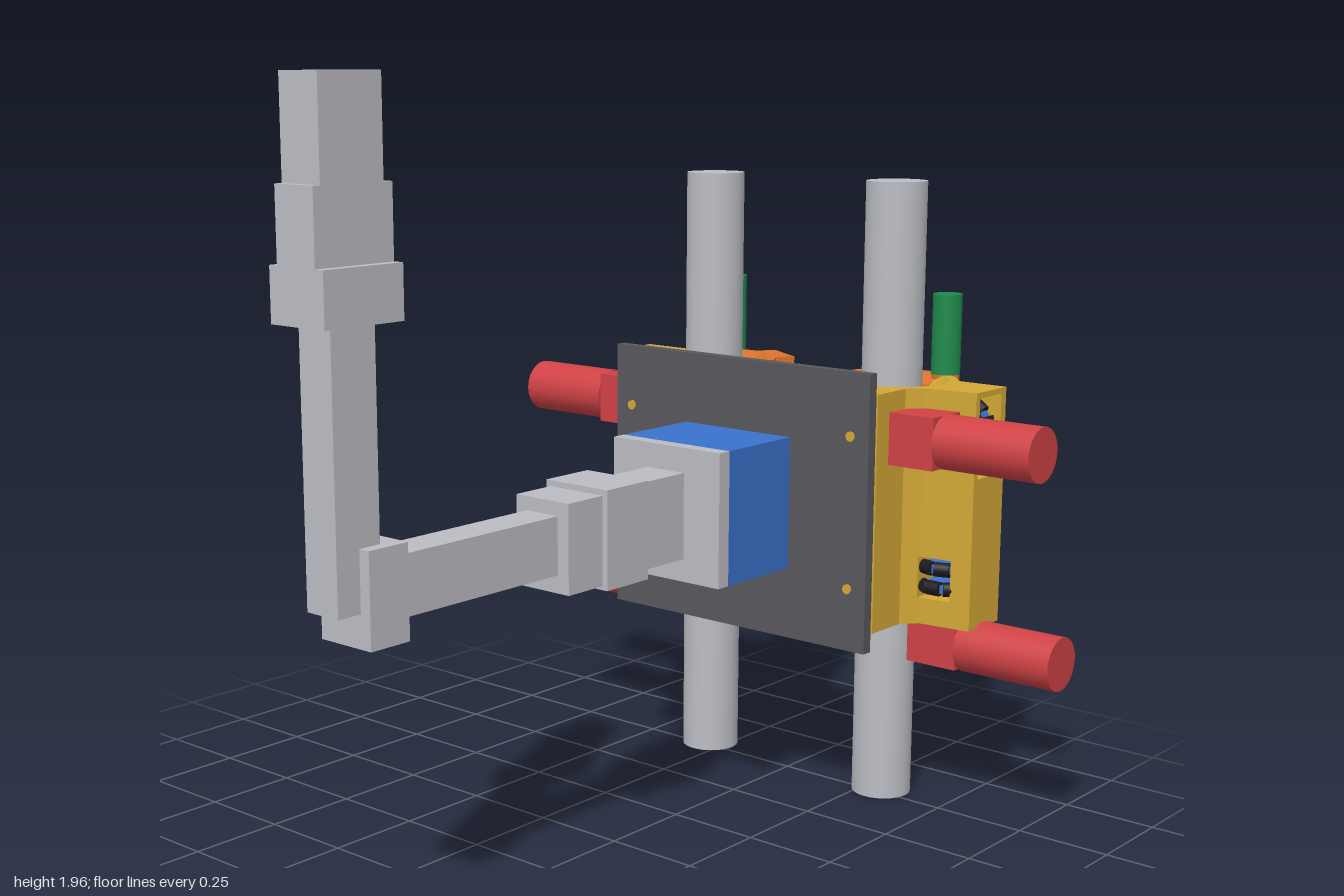
import * as THREE from 'three';

const mat = (name, color, side = THREE.FrontSide) => {
  const m = new THREE.MeshStandardMaterial({ color, side });
  m.name = name;
  return m;
};
const DEG = Math.PI / 180;
const CX = 0.3, CZ = -0.775;      // pole axis
const Y0 = 0.52, Y1 = 1.145;      // clamp height

export function createModel() {
  const grey = mat('light grey', 0xbcbdc3);
  const dark = mat('dark grey', 0x58575d);
  const blue = mat('blue', 0x3a72cc);
  const yellow = mat('yellow', 0xd2a836, THREE.DoubleSide);
  const orange = mat('orange', 0xdc742c, THREE.DoubleSide);
  const red = mat('red', 0xcf4245);
  const green = mat('green', 0x1f8a4c);
  const steel = mat('steel', 0x8d8f96);
  const black = mat('black', 0x1c1c20);

  const root = new THREE.Group();
  root.name = 'poleClimber';

  const add = (parent, name, geo, m, x = 0, y = 0, z = 0) => {
    const mesh = new THREE.Mesh(geo, m);
    mesh.name = name;
    mesh.position.set(x, y, z);
    parent.add(mesh);
    return mesh;
  };
  // box given by half width in x and ranges in y and z
  const block = (parent, name, m, x0, x1, y0, y1, z0, z1) =>
    add(parent, name, new THREE.BoxGeometry(Math.abs(x1 - x0), y1 - y0, z1 - z0), m,
      (x0 + x1) / 2, (y0 + y1) / 2, (z0 + z1) / 2);
  const rod = (parent, name, m, r, y0, y1, x, z) =>
    add(parent, name, new THREE.CylinderGeometry(r, r, y1 - y0, 32), m, x, (y0 + y1) / 2, z);

  // base plate with bolts, and the shoulder motor
  block(root, 'basePlate', dark, -0.42, 0.42, 0.47, 1.2, -0.525, -0.495);
  for (const x of [-0.365, 0.365]) for (const y of [0.635, 1.035])
    add(root, 'plateBolt', new THREE.CylinderGeometry(0.013, 0.013, 0.006, 12).rotateX(Math.PI / 2), yellow, x, y, -0.493);
  block(root, 'shoulderMotor', blue, -0.175, 0.175, 0.66, 1.01, -0.495, -0.24);
  block(root, 'shoulderCap', grey, -0.175, 0.175, 0.66, 1.01, -0.24, -0.2);

  // arm: half width, y range, z range
  const arm = new THREE.Group();
  arm.name = 'arm';
  root.add(arm);
  const segments = [
    ['shoulderLink', 0.06, 0.72, 0.945, -0.2, -0.022],
    ['shoulderCollar', 0.1, 0.71, 0.96, -0.012, 0.14],
    ['upperArmSocket', 0.085, 0.72, 0.945, 0.14, 0.262],
    ['upperArm', 0.05, 0.765, 0.91, 0.262, 0.775],
    ['elbow', 0.08, 0.72, 0.945, 0.775, 0.89],
    ['forearm', 0.05, 0.8, 1.43, 0.83, 0.955],
    ['wristCollar', 0.085, 1.43, 1.555, 0.777, 1.0],
    ['wrist', 0.06, 1.555, 1.725, 0.78, 1.0],
    ['hand', 0.06, 1.725, 1.955, 0.805, 0.98],
  ];
  for (const [name, w, y0, y1, z0, z1] of segments) block(arm, name, grey, -w, w, y0, y1, z0, z1);

  // points on a circle about the pole, angles in degrees from the outward side
  const arc = (r, a0, a1) => {
    const n = Math.max(2, Math.ceil(Math.abs(a1 - a0) / 8));
    return Array.from({ length: n + 1 }, (_, i) => {
      const a = (a0 + (a1 - a0) * i / n) * DEG;
      return [r * Math.cos(a), r * Math.sin(a)];
    });
  };
  // upright prism from a plan outline around the pole
  const prism = (parent, name, m, s, pts, y0, y1) => {
    const shape = new THREE.Shape(pts.map(([u, v]) => new THREE.Vector2(s * (CX + u), -(CZ + v))));
    const geo = new THREE.ExtrudeGeometry(shape, { depth: y1 - y0, bevelEnabled: false }).rotateX(-Math.PI / 2);
    return add(parent, name, geo, m, 0, y0, 0);
  };
  // chamfered lining of the bore
  const liner = (parent, name, m, s, a0, a1) => {
    const prof = [[0.15, Y0], [0.125, Y0 + 0.03], [0.125, Y1 - 0.03], [0.15, Y1]].map(p => new THREE.Vector2(...p));
    const start = s > 0 ? 90 - a1 : a0 - 90;
    for (let i = 0; i < 3; i++)
      add(parent, name, new THREE.LatheGeometry([prof[i], prof[i + 1]], 24, start * DEG, (a1 - a0) * DEG), m, s * CX, 0, CZ);
  };
  // roller wheel: two hubs, each ringed with small rollers; axis along y
  const wheel = (parent, name, r) => {
    const g = new THREE.Group();
    g.name = name;
    parent.add(g);
    [-0.026, 0.026].forEach((off, row) => {
      add(g, 'wheelHub', new THREE.CylinderGeometry(r - 0.012, r - 0.012, 0.022, 20), blue, 0, off, 0);
      for (let i = 0; i < 10; i++) {
        const geo = new THREE.CylinderGeometry(0.019, 0.019, 0.04, 10).rotateZ(Math.PI / 2).translate(0, off, r - 0.019);
        add(g, 'wheelRoller', geo, black).rotation.y = (i + row / 2) * Math.PI / 5;
      }
    });
    return g;
  };
  // motor with gearbox, pointing sideways
  const motor = (parent, name, s, y, z, x0, x1, x2, hy, hz) => {
    block(parent, name + 'Gearbox', red, s * x0, s * x1, y - hy, y + hy, z - hz, z + hz);
    add(parent, name, new THREE.CylinderGeometry(0.071, 0.071, x2 - x1, 24).rotateZ(Math.PI / 2), red, s * (x1 + x2) / 2, y, z);
  };

  for (const s of [1, -1]) {
    const side = new THREE.Group();
    side.name = s > 0 ? 'leftClamp' : 'rightClamp';
    root.add(side);

    rod(side, 'pole', grey, 0.08, 0, 1.665, s * CX, CZ);

    // fixed clamp body in layers, with openings where the wheels sit
    const foot = [...arc(0.175, 162, 90), [0, 0.25], [0.125, 0.25], [0.125, 0.125]];
    const back = [[0.12, -0.125], [0.06, -0.165]];
    const full = [...foot, [0.16, 0.085], [0.302, 0.069], [0.302, -0.075], [0.16, -0.075], ...back, ...arc(0.15, -70, 162)];
    for (const [y0, y1] of [[Y0, 0.59], [0.7, 0.92], [1.13, Y1]]) prism(side, 'clampBody', yellow, s, full, y0, y1);
    prism(side, 'clampBodyFront', yellow, s,
      [...foot, [0.16, 0.085], [0.302, 0.069], [0.302, 0.052], [0.141, 0.052], ...arc(0.15, 21, 162)], 0.92, 1.13);
    prism(side, 'clampBodyBack', yellow, s,
      [[0.141, -0.052], [0.302, -0.052], [0.302, -0.075], [0.16, -0.075], ...back, ...arc(0.15, -70, -21)], 0.92, 1.13);
    prism(side, 'clampBodyInner', yellow, s,
      [...foot, [0.155, 0.09], [0.155, -0.08], ...back, ...arc(0.15, -70, 162)], 0.59, 0.7);
    prism(side, 'clampBodyOuter', yellow, s, [[0.245, 0.074], [0.302, 0.069], [0.302, -0.075], [0.245, -0.075]], 0.59, 0.7);
    liner(side, 'clampLiner', yellow, s, -70, 162);

    // swinging jaw
    prism(side, 'jaw', orange, s, [...arc(0.175, -162, -70), ...arc(0.15, -70, -162)], Y0, Y1);
    liner(side, 'jawLiner', orange, s, -162, -70);

    // radial tabs with idler pads and cover plates
    for (const [m, a] of [[yellow, 120], [orange, -120]]) {
      const tab = new THREE.Group();
      tab.name = a > 0 ? 'clampTab' : 'jawTab';
      tab.position.set(s * CX, (Y0 + Y1) / 2, CZ);
      tab.rotation.y = s > 0 ? -a * DEG : Math.PI + a * DEG;
      side.add(tab);
      add(tab, 'tabBlock', new THREE.BoxGeometry(0.067, Y1 - Y0, 0.14), m, 0.1835, 0, 0);
      add(tab, 'idlerPad', new THREE.BoxGeometry(0.045, 0.5, 0.06), orange, 0.108, 0, 0);
      add(tab, 'tabPlate', new THREE.BoxGeometry(0.006, 0.54, 0.08), steel, 0.219, 0, 0);
      for (const y of [-0.23, -0.18, 0.18, 0.23])
        add(tab, 'tabScrew', new THREE.CylinderGeometry(0.009, 0.009, 0.004, 10).rotateZ(Math.PI / 2), dark, 0.223, y, 0);
    }

    // hinge knuckles and hinge motor
    const hx = s * 0.362, hz = -0.94;
    rod(side, 'jawKnuckle', orange, 0.038, Y0, 0.755, hx, hz);
    rod(side, 'clampKnuckle', yellow, 0.038, 0.755, 0.91, hx, hz);
    rod(side, 'jawKnuckle', orange, 0.038, 0.91, Y1, hx, hz);
    rod(side, 'hingePin', steel, 0.012, 0.51, Y0, hx, hz);
    rod(side, 'hingeMotor', green, 0.039, Y1, 1.36, hx, hz);

    // drive wheels and their motors
    const climb = wheel(side, 'climbWheel', 0.103);
    climb.position.set(s * 0.5, 1.025, CZ);
    climb.rotation.x = Math.PI / 2;
    wheel(side, 'turnWheel', 0.092).position.set(s * 0.495, 0.645, CZ);
    motor(side, 'climbMotor', s, 1.025, -0.64, 0.42, 0.557, 0.833, 0.068, 0.062);
    motor(side, 'turnMotor', s, 0.462, CZ, 0.41, 0.557, 0.835, 0.058, 0.06);
  }
  return root;
}
